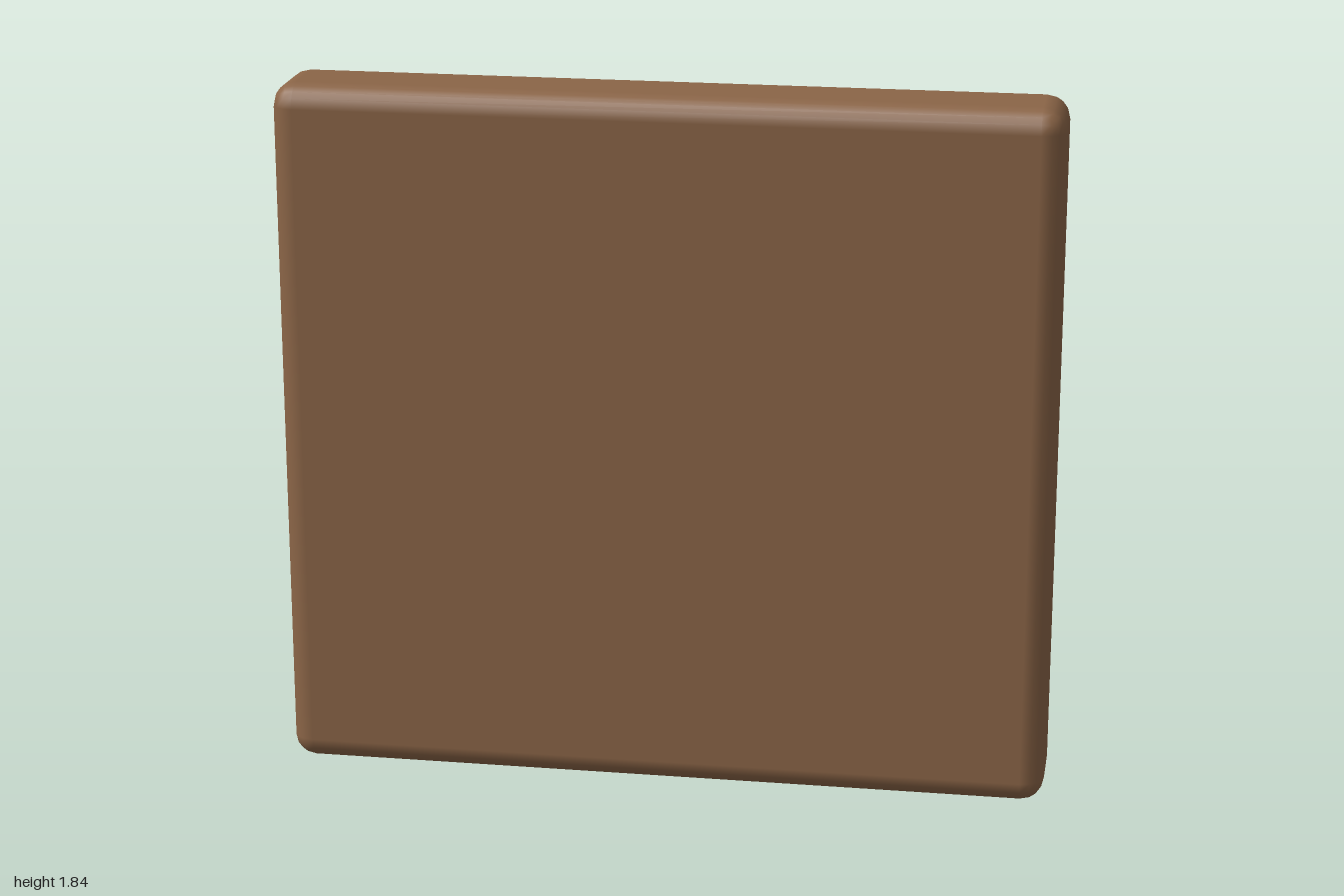
import * as THREE from 'three';
import { RoundedBoxGeometry } from 'three/addons/geometries/RoundedBoxGeometry.js';

export function createModel() {
  const model = new THREE.Group();
  const leather = new THREE.MeshStandardMaterial({ color: 0x8b6547 });
  const brass = new THREE.MeshStandardMaterial({ color: 0xdcb25c });

  // Padded slab with softened edges
  const height = 1.835, front = 0.17, back = -0.095;
  const panel = new THREE.Mesh(new RoundedBoxGeometry(2, height, front - back, 2, 0.06), leather);
  panel.name = 'panel';
  panel.position.set(0, height / 2, (front + back) / 2);
  model.add(panel);

  // Three by three flattened studs on the back
  const studs = new THREE.Group();
  studs.name = 'studs';
  const studGeometry = new THREE.SphereGeometry(0.057, 20, 14);
  studGeometry.scale(1, 1, 0.68);
  for (let row = -1; row <= 1; row++) {
    for (let column = -1; column <= 1; column++) {
      const stud = new THREE.Mesh(studGeometry, brass);
      stud.name = 'stud';
      stud.position.set(column * 0.567, height / 2 + row * 0.5, -0.13);
      studs.add(stud);
    }
  }
  model.add(studs);
  return model;
}
